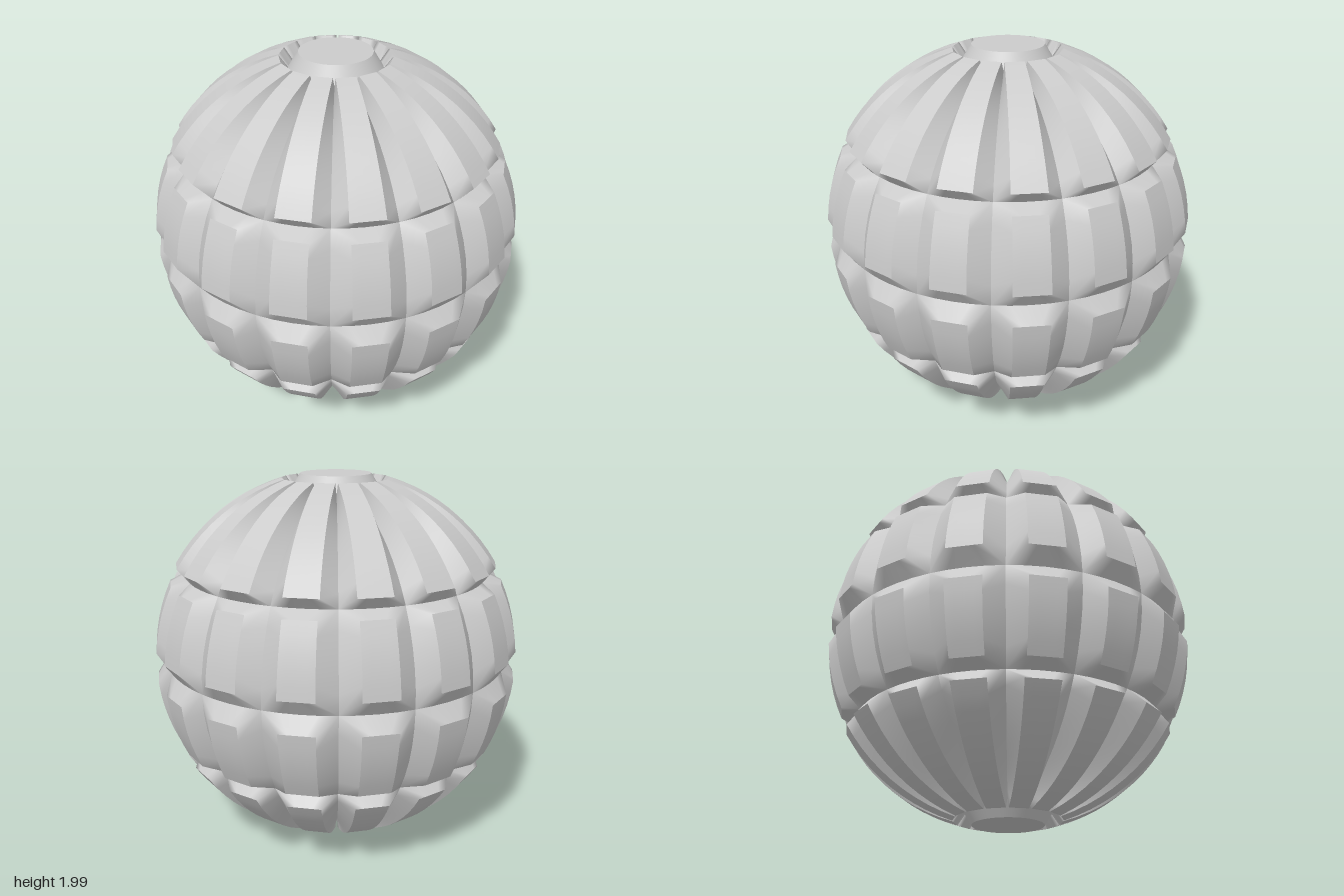
import * as THREE from 'three';

const COUNT = 16;                      // pads around each band
const STEP = (Math.PI * 2) / COUNT;
const TWIST = THREE.MathUtils.degToRad(3.75);
const CORE = 0.94;                     // radius of the groove lines
const MID = 0.997;                     // height of the equator
const rad = THREE.MathUtils.degToRad;
const lerp = THREE.MathUtils.lerp;
const material = new THREE.MeshStandardMaterial({ color: 0xcccccc, side: THREE.DoubleSide });

// One band of cells: core latitudes, pad latitudes, pad radius, pad half widths, rows
const BANDS = [
  { name: 'equator', core: [0, 30], pad: [4.7, 26], radius: 1.002, half: [0.091, 0.083], rows: 5 },
  { name: 'polar', core: [30, 75], pad: [31.5, 73.4], radius: 1.015, half: [0.086, 0.05], rows: 10 },
];
const COLS = 4;

// Point on the raised pad face: flat across, curved along the meridian
function padPoint(b, u, v) {
  const lat = rad(lerp(b.pad[0], b.pad[1], v));
  const half = lerp(b.half[0], b.half[1], v);
  const r = b.radius * Math.cos(lat);
  return [(u * 2 - 1) * half, b.radius * Math.sin(lat), Math.sqrt(r * r - half * half)];
}

// Point on the grooved core sphere
function corePoint(b, u, v) {
  const lat = rad(lerp(b.core[0], b.core[1], v));
  const lon = (u - 0.5) * STEP;
  const r = CORE * Math.cos(lat);
  return [r * Math.sin(lon), CORE * Math.sin(lat), r * Math.cos(lon)];
}

function makeGeometry(positions, index) {
  const g = new THREE.BufferGeometry();
  g.setAttribute('position', new THREE.Float32BufferAttribute(positions.flat(), 3));
  g.setIndex(index);
  g.computeVertexNormals();
  return g;
}

// Raised outer face of a pad
function padFace(b) {
  const pts = [], index = [], w = COLS + 1;
  for (let j = 0; j <= b.rows; j++)
    for (let i = 0; i <= COLS; i++) pts.push(padPoint(b, i / COLS, j / b.rows));
  for (let j = 0; j < b.rows; j++)
    for (let i = 0; i < COLS; i++) {
      const a = j * w + i;
      index.push(a, a + 1, a + w + 1, a, a + w + 1, a + w);
    }
  return makeGeometry(pts, index);
}

// Sloped skirt from the pad outline down to the grooves of its cell
function padSkirt(b) {
  const outline = [];
  for (let i = 0; i < COLS; i++) outline.push([i / COLS, 0]);
  for (let j = 0; j < b.rows; j++) outline.push([1, j / b.rows]);
  for (let i = COLS; i > 0; i--) outline.push([i / COLS, 1]);
  for (let j = b.rows; j > 0; j--) outline.push([0, j / b.rows]);
  const n = outline.length, index = [];
  const pts = [
    ...outline.map(([u, v]) => padPoint(b, u, v)),
    ...outline.map(([u, v]) => corePoint(b, u, v)),
  ];
  for (let i = 0; i < n; i++) {
    const k = (i + 1) % n;
    index.push(i, n + i, n + k, i, n + k, k);
  }
  return makeGeometry(pts, index);
}

// Upper half, centred on the equator; twist sets the turn of the pads
function makeHalf(twist) {
  const half = new THREE.Group();
  for (const b of BANDS) {
    const band = new THREE.Group();
    band.name = b.name + 'Band';
    const face = padFace(b), skirt = padSkirt(b);
    for (let k = 0; k < COUNT; k++) {
      const pad = new THREE.Group();
      pad.name = b.name + 'Pad';
      const top = new THREE.Mesh(face, material);
      top.name = 'padFace';
      const side = new THREE.Mesh(skirt, material);
      side.name = 'padSkirt';
      pad.add(top, side);
      pad.rotation.y = k * STEP + twist;
      band.add(pad);
    }
    half.add(band);
  }

  // Round pole cap with a sloped rim
  const lowY = CORE * Math.sin(rad(75)), lowR = CORE * Math.cos(rad(75));
  const rim = new THREE.Mesh(new THREE.CylinderGeometry(0.19, lowR, MID - lowY, 64, 1, true), material);
  rim.name = 'capRim';
  rim.position.y = (MID + lowY) / 2;
  const disc = new THREE.Mesh(new THREE.CircleGeometry(0.19, 64), material);
  disc.name = 'capDisc';
  disc.rotation.x = -Math.PI / 2;
  disc.position.y = MID;
  half.add(rim, disc);
  return half;
}

export function createModel() {
  const model = new THREE.Group();
  model.name = 'paddedSphere';
  const upper = makeHalf(-TWIST);
  upper.name = 'upperHalf';
  // The lower half is the upper one turned over, with its pads lined up
  const lower = makeHalf(TWIST);
  lower.name = 'lowerHalf';
  lower.rotation.x = Math.PI;
  upper.position.y = lower.position.y = MID;
  model.add(upper, lower);
  return model;
}
